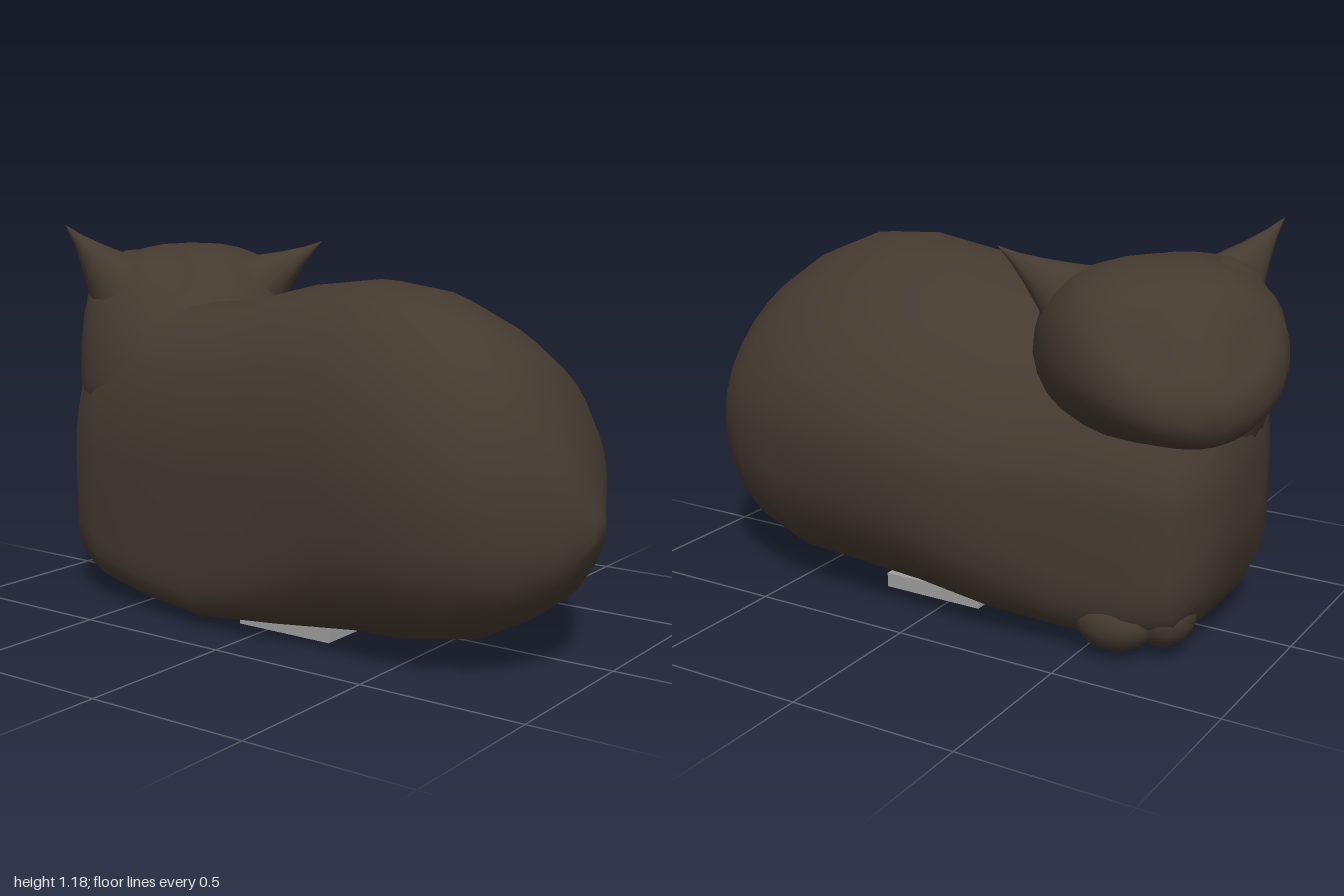
import * as THREE from 'three';

const fur = new THREE.MeshStandardMaterial({ color: 0x453a30 });
fur.name = 'dark brown fur';
const metal = new THREE.MeshStandardMaterial({ color: 0xa0a0a0 });
metal.name = 'grey plate';

const SEG = 32;

// Skin over upright cross-sections along x:
// [x, zMin, zMax, yMin, yMax, power of the lower +z corner, power of the lower -z corner].
// Higher powers are squarer; lean slides the crown towards +z.
function loft(stations, { level = 0.5, low = 2, high = 2, lean = 0 }) {
  const pos = [], index = [];
  for (const [x, z0, z1, y0, y1, front = low, back = front] of stations) {
    const yc = y0 + (y1 - y0) * level;
    for (let j = 0; j < SEG; j++) {
      const a = (j / SEG) * Math.PI * 2, c = Math.cos(a), s = Math.sin(a);
      const e = 2 / (s >= 0 ? high : c > 0 ? front : back);
      const w = Math.sign(c) * Math.abs(c) ** e, h = Math.sign(s) * Math.abs(s) ** e;
      pos.push(x, yc + h * (h > 0 ? y1 - yc : yc - y0),
        (z0 + z1) / 2 + w * (z1 - z0) / 2 + lean * (z1 - z0) * Math.max(0, h) ** 2);
    }
  }
  const n = stations.length, first = n * SEG, last = first + 1;
  for (const [x, z0, z1, y0, y1] of [stations[0], stations[n - 1]]) {
    pos.push(x, (y0 + y1) / 2, (z0 + z1) / 2);
  }
  for (let j = 0; j < SEG; j++) {
    const k = (j + 1) % SEG, end = (n - 1) * SEG;
    for (let i = 0; i < end; i += SEG) {
      index.push(i + j, i + SEG + j, i + k, i + k, i + SEG + j, i + SEG + k);
    }
    index.push(first, j, k, last, end + k, end + j);
  }
  const g = new THREE.BufferGeometry();
  g.setAttribute('position', new THREE.Float32BufferAttribute(pos, 3));
  g.setIndex(index);
  g.computeVertexNormals();
  return g;
}

function add(parent, name, geometry, material = fur) {
  const m = new THREE.Mesh(geometry, material);
  m.name = name;
  parent.add(m);
  return m;
}

function ball(parent, name, [x, y, z], [rx, ry, rz]) {
  const m = add(parent, name, new THREE.SphereGeometry(1, 20, 14));
  m.position.set(x, y, z);
  m.scale.set(rx, ry, rz);
}

// Pointed ear, flattened on its front side, from base to tip
function ear(parent, name, base, tip, radius) {
  const dir = tip.clone().sub(base), len = dir.length();
  const g = new THREE.ConeGeometry(radius, len, 14, 5);
  g.translate(0, len / 2, 0);
  const p = g.attributes.position;
  for (let i = 0; i < p.count; i++) {
    const f = Math.max(0, 1 - p.getY(i) / len) ** 0.25;
    const x = p.getX(i) * f;
    p.setXYZ(i, x > 0 ? x * 0.6 : x, p.getY(i), p.getZ(i) * f * 0.8);
  }
  g.computeVertexNormals();
  const m = add(parent, name, g);
  m.position.copy(base);
  m.quaternion.setFromUnitVectors(new THREE.Vector3(0, 1, 0), dir.normalize());
}

export function createModel() {
  const cat = new THREE.Group();
  cat.name = 'lying cat';

  // Plump body, chest at -x and rump at +x
  add(cat, 'body', loft([
    [-0.86, -0.16, 0.1, 0.36, 0.62],
    [-0.83, -0.28, 0.21, 0.18, 0.76, 4],
    [-0.77, -0.35, 0.27, 0.075, 0.85, 6, 4.5],
    [-0.65, -0.4, 0.32, 0.045, 0.91, 7, 5],
    [-0.45, -0.42, 0.36, 0.025, 0.94, 8, 4.5],
    [-0.2, -0.485, 0.405, 0.01, 0.96, 8, 2.8],
    [0.05, -0.51, 0.44, 0.02, 1.02, 5, 2.3],
    [0.3, -0.495, 0.475, 0.025, 1.05, 3, 2.3],
    [0.5, -0.455, 0.505, 0.03, 1.03, 2.5],
    [0.68, -0.385, 0.485, 0.07, 0.955],
    [0.79, -0.31, 0.45, 0.13, 0.88],
    [0.87, -0.2, 0.39, 0.19, 0.78],
    [0.95, -0.03, 0.27, 0.28, 0.61],
    [1.0, 0.07, 0.15, 0.38, 0.46],
  ], { level: 0.48, low: 2.5, high: 1.9, lean: 0.12 }));

  // Neck rising from the shoulder, sections stacked upwards: [y, zMin, zMax, -xMax, -xMin]
  const neck = add(cat, 'neck', loft([
    [0.45, -0.15, 0.15, 0.5, 0.75], [0.6, -0.28, 0.29, 0.32, 0.86],
    [0.7, -0.29, 0.295, 0.28, 0.875], [0.8, -0.28, 0.28, 0.29, 0.88],
    [0.9, -0.27, 0.25, 0.34, 0.88], [1.0, -0.24, 0.2, 0.42, 0.87],
    [1.06, -0.2, 0.14, 0.49, 0.84], [1.09, -0.12, 0.07, 0.56, 0.78],
  ], { low: 2.2, high: 2.2 }));
  neck.rotation.z = Math.PI / 2;

  // Tucked front paws
  ball(cat, 'frontPaw', [-0.7, 0.13, -0.23], [0.1, 0.1, 0.1]);
  ball(cat, 'frontPaw', [-0.59, 0.11, -0.3], [0.12, 0.09, 0.1]);

  // Head, built along local +x and turned over the shoulder
  const head = new THREE.Group();
  head.name = 'head';
  head.position.set(-0.515, 0, -0.03);
  head.rotation.y = Math.PI * 0.75;
  cat.add(head);
  const skull = loft([
    [-0.25, 0.12, 0.7, 0.88], [-0.18, 0.21, 0.6, 0.96], [-0.1, 0.27, 0.57, 1.02],
    [0, 0.315, 0.56, 1.08], [0.13, 0.335, 0.58, 1.115], [0.26, 0.33, 0.61, 1.105],
    [0.36, 0.295, 0.64, 1.065], [0.43, 0.25, 0.655, 1.01], [0.485, 0.19, 0.67, 0.94],
    [0.53, 0.13, 0.69, 0.89], [0.56, 0.06, 0.73, 0.83],
  ].map(([x, w, y0, y1]) => [x, -w, w, y0, y1]), { low: 2, high: 2.5 });
  // shallow eye sockets
  const p = skull.attributes.position;
  for (let i = 0; i < p.count; i++) {
    if (p.getX(i) < 0.3) continue;
    const du = (Math.abs(p.getZ(i)) - 0.15) / 0.08, dy = (p.getY(i) - 0.93) / 0.07;
    p.setX(i, p.getX(i) - 0.04 * Math.exp(-du * du - dy * dy));
  }
  skull.computeVertexNormals();
  add(head, 'skull', skull);
  ball(head, 'muzzle', [0.43, 0.775, 0], [0.13, 0.095, 0.17]);
  ear(head, 'rightEar', new THREE.Vector3(0.05, 0.94, -0.2), new THREE.Vector3(0.03, 1.18, -0.41), 0.19);
  ear(head, 'leftEar', new THREE.Vector3(0.07, 0.95, 0.17), new THREE.Vector3(-0.03, 1.125, 0.41), 0.18);

  // Small plate under the belly
  const plate = add(cat, 'basePlate', new THREE.BoxGeometry(0.33, 0.045, 0.5), metal);
  plate.position.set(0.06, 0.0225, 0.01);
  return cat;
}
